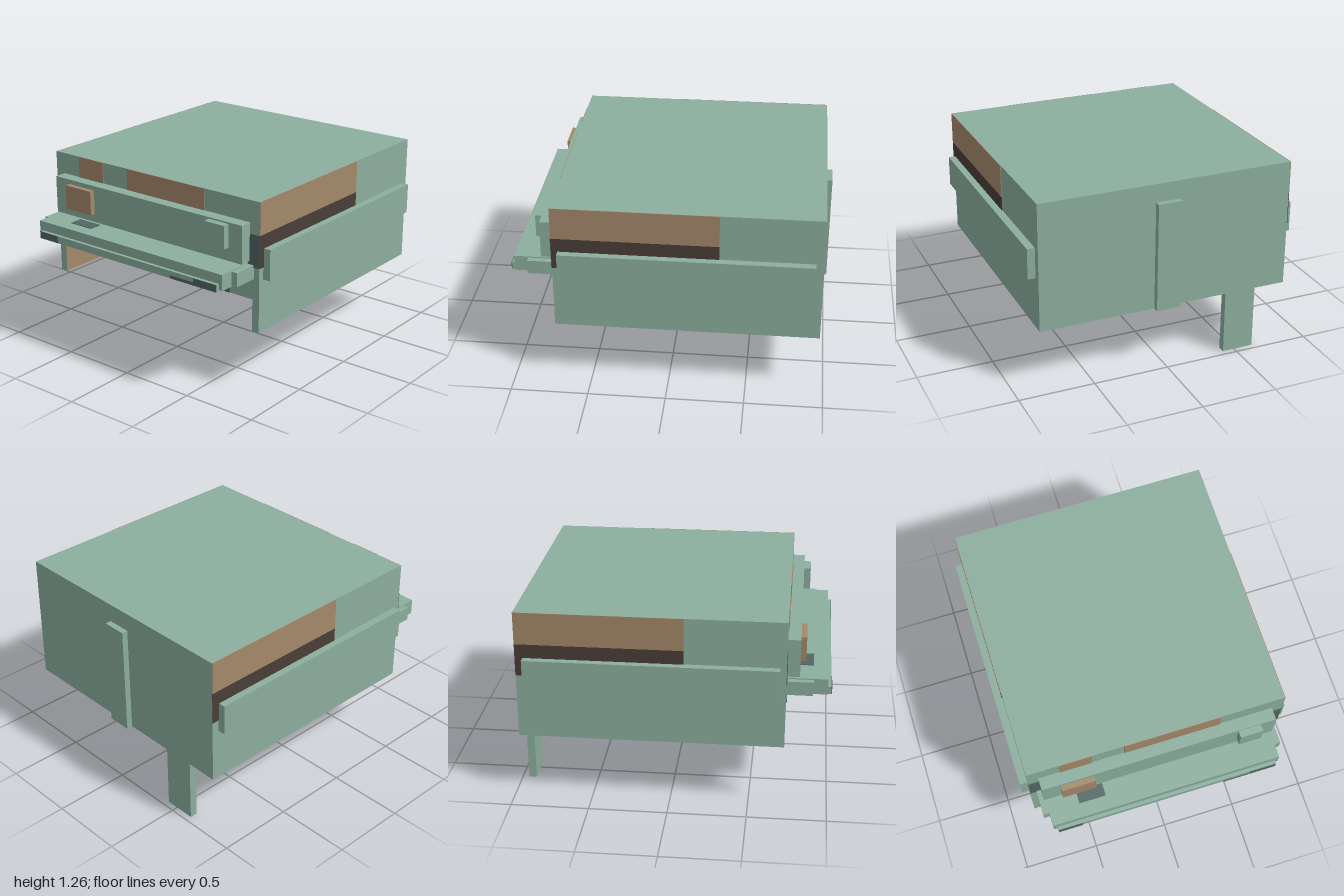
import * as THREE from 'three';

const mat = (name, color) => {
  const m = new THREE.MeshStandardMaterial({ color });
  m.name = name;
  return m;
};

export function createModel() {
  const model = new THREE.Group();
  model.name = 'boxBody';
  const green = mat('sage green', 0x8cae9e);
  const tan = mat('tan', 0xa4896a);
  const brown = mat('dark brown', 0x4a3e38);
  const slate = mat('dark slate', 0x526764);

  // Box given by its limits on each axis
  const box = (name, [x0, x1], [y0, y1], [z0, z1], material = green) => {
    const mesh = new THREE.Mesh(new THREE.BoxGeometry(x1 - x0, y1 - y0, z1 - z0), material);
    mesh.position.set((x0 + x1) / 2, (y0 + y1) / 2, (z0 + z1) / 2);
    mesh.name = name;
    model.add(mesh);
    return mesh;
  };
  const T = 0.004; // thickness of painted plates

  // Hollow shell, open underneath; face order +x -x +y -y +z -z
  const W = 0.84, B = -0.96, F = 0.72, wall = 0.05;
  box('roof', [-W, W], [1.21, 1.26], [B, F]);
  box('leftWall', [W - wall, W], [0.42, 1.21], [B, F], [green, tan, green, tan, green, green]);
  box('rightWall', [-W, -W + wall], [0.42, 1.21], [B, F], [tan, green, green, tan, green, green]);
  box('backWall', [-W + wall, W - wall], [0.42, 1.21], [B, B + wall]);
  box('frontWall', [-W + wall, W - wall], [0.63, 1.21], [F - wall, F],
    [green, green, green, brown, green, brown]);

  // Painted patches on the front
  const frontPatch = (name, xs, ys, material, z = F) => box(name, xs, ys, [z, z + T], material);
  frontPatch('frontTanSmall', [-0.63, -0.42], [1.05, 1.26], tan);
  frontPatch('frontTanWide', [-0.21, 0.42], [1.05, 1.26], tan);
  frontPatch('frontBrownBand', [-0.42, 0.42], [0.84, 1.05], brown);
  frontPatch('frontSlateRight', [-W, -0.42], [0.84, 1.05], slate);
  frontPatch('frontSlateLeft', [0.42, W], [0.84, 1.05], slate);
  frontPatch('frontSlateLow', [-0.63, 0.62], [0.63, 0.84], slate);

  // Side patches (turned half round from one side to the other) and side rails
  for (const s of [1, -1]) {
    const xs = s > 0 ? [W, W + T] : [-W - T, -W];
    const zs = s > 0 ? [-0.32, F] : [B, 0.09];
    box('sideTan', xs, [1.05, 1.26], zs, tan);
    box('sideBrown', xs, [0.84, 1.05], zs, brown);
    box('sideRail', s > 0 ? [W, 0.89] : [-0.89, -W], [0.76, 0.96], [-0.91, 0.68]);
  }

  // Back rib and single leg
  box('backRib', [-0.08, 0.08], [0.42, 1.14], [-1, B]);
  box('leg', [-0.63, -0.42], [0, 0.42], [B, B + wall]);

  // Front panel with two raised blocks
  box('frontPanel', [-0.77, 0.77], [0.875, 1.12], [F, 0.8]);
  box('tanBlock', [-0.65, -0.43], [0.93, 1.09], [0.8, 0.835], tan);
  box('greenBlock', [0.52, 0.67], [0.96, 1.11], [0.8, 0.845]);

  // Bumper shelf, its side blocks and lower lip
  box('bumper', [-0.76, 0.76], [0.76, 0.862], [F, 0.975]);
  for (const s of [1, -1])
    box('bumperEnd', s > 0 ? [0.76, 0.8] : [-0.8, -0.76], [0.765, 0.855], [F, 0.885]);
  box('bumperLip', [-0.735, 0.735], [0.752, 0.8], [0.975, 0.997]);
  box('bumperTopPatch', [-0.56, -0.385], [0.862, 0.862 + T], [0.8, 0.885], slate);
  frontPatch('lipPatchRight', [-0.735, -0.575], [0.753, 0.8], slate, 0.997);
  frontPatch('lipPatchLeft', [0.56, 0.735], [0.753, 0.8], slate, 0.997);
  frontPatch('lipPatchLow', [0.38, 0.56], [0.753, 0.773], slate, 0.997);

  return model;
}
